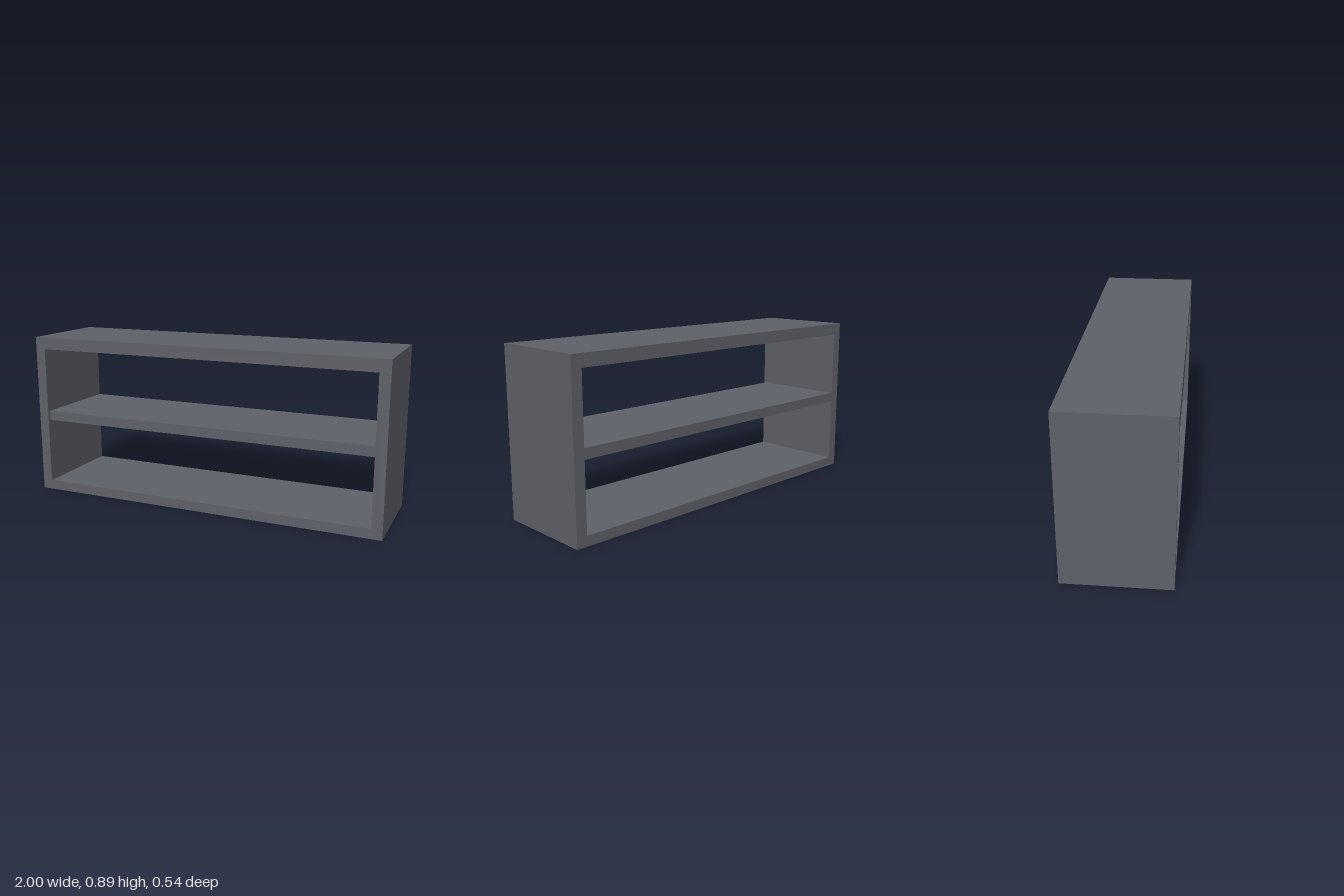
import * as THREE from 'three';

const WIDTH = 2, HEIGHT = 0.895, DEPTH = 0.544;
const INNER_X = 0.943, INNER_BOTTOM = 0.053, INNER_TOP = 0.829;

// Traces a closed rectangle on a Shape or Path
function rectangle(path, x0, y0, x1, y1) {
  path.moveTo(x0, y0);
  path.lineTo(x1, y0);
  path.lineTo(x1, y1);
  path.lineTo(x0, y1);
  path.closePath();
  return path;
}

export function createModel() {
  const model = new THREE.Group();
  model.name = 'openShelfUnit';

  const charcoal = new THREE.MeshStandardMaterial({ color: 0x5f6169 });
  charcoal.name = 'charcoal';

  // Outer frame: top, bottom and sides in one piece, open front and back
  const outline = rectangle(new THREE.Shape(), -WIDTH / 2, 0, WIDTH / 2, HEIGHT);
  outline.holes.push(rectangle(new THREE.Path(), -INNER_X, INNER_BOTTOM, INNER_X, INNER_TOP));
  const frame = new THREE.Mesh(
    new THREE.ExtrudeGeometry(outline, { depth: DEPTH, bevelEnabled: false }),
    charcoal
  );
  frame.name = 'frame';
  frame.position.z = -DEPTH / 2;
  model.add(frame);

  // Middle shelf: flush at the back, slightly recessed at the front
  const recess = 0.018;
  const shelf = new THREE.Mesh(
    new THREE.BoxGeometry(INNER_X * 2, 0.054, DEPTH - recess),
    charcoal
  );
  shelf.name = 'middleShelf';
  shelf.position.set(0, 0.441, -recess / 2);
  model.add(shelf);

  return model;
}
